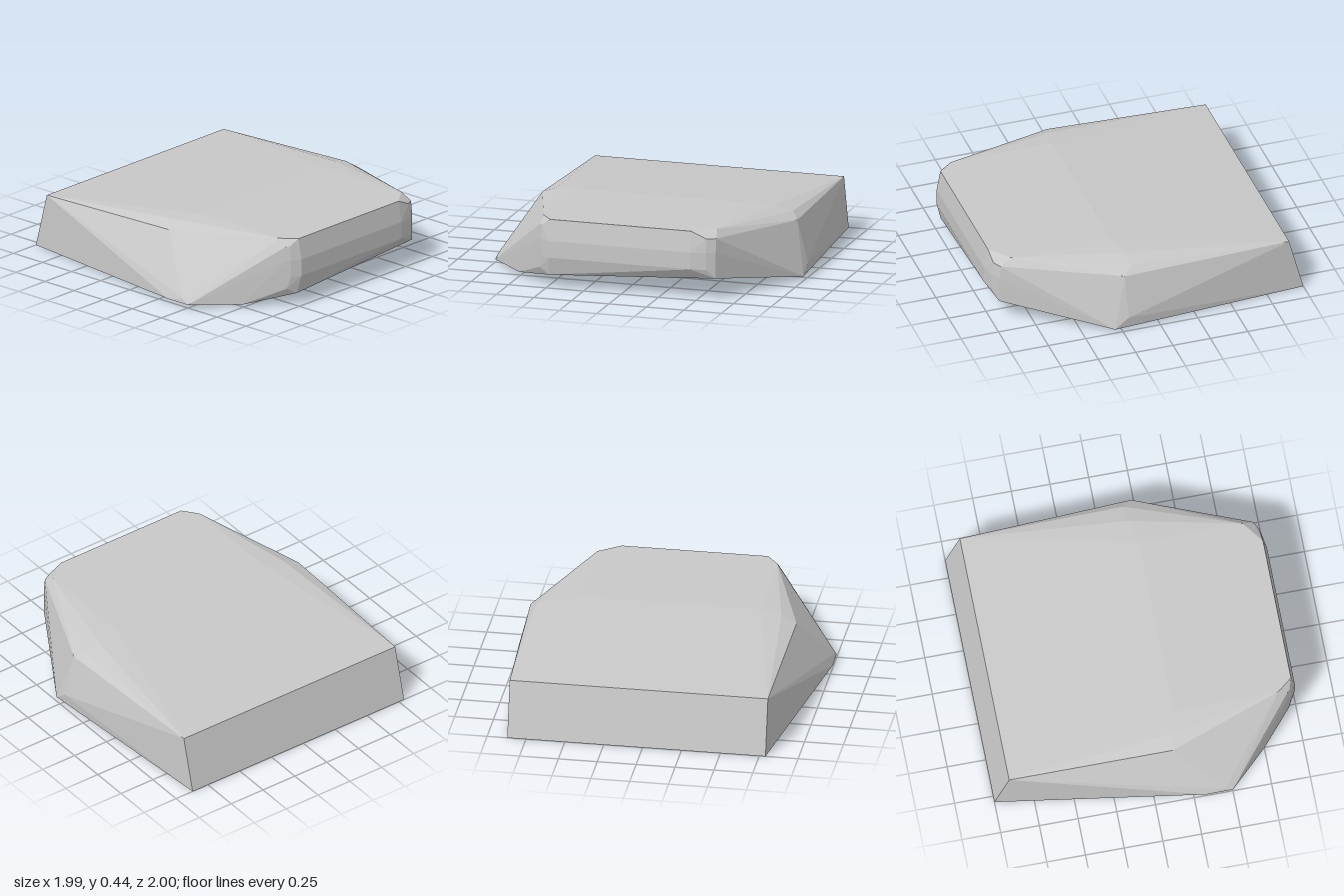
import * as THREE from 'three';
import { ConvexGeometry } from 'three/addons/geometries/ConvexGeometry.js';

export function createModel() {
  const group = new THREE.Group();
  group.name = 'facetedSlab';
  const grey = new THREE.MeshStandardMaterial({ color: 0xc8c8c8 });
  grey.name = 'plain grey';

  const points = [];
  const add = (x, y, z) => points.push(new THREE.Vector3(x, y, z));

  // Sloping back wall
  for (const x of [-0.79, 0.87]) {
    add(x, 0, -1);
    add(x, 0.36, -0.905);
  }

  // Wide lower corners
  add(-1, 0.02, 0.5);
  add(-1, 0.02, 0.33);
  add(-0.995, 0.05, 0.45);
  add(-0.76, 0.02, 0.75);
  add(0.99, 0.02, 0.3);
  add(0.99, 0.09, 0.21);

  // Crowned ridge across the top
  const ridge = [
    [-0.8, 0.39, 0.15], [-0.7, 0.43, 0.17], [-0.56, 0.445, 0.2],
    [0.6, 0.445, 0.2], [0.76, 0.433, 0.16], [0.87, 0.403, 0.15], [0.92, 0.362, 0.21],
  ];
  ridge.forEach((p) => add(...p));
  add(-0.555, 0.445, 0.88);
  add(0.6, 0.445, 0.87);

  // Rounded nose, upper edge to lower edge
  for (const x of [-0.48, 0.46]) {
    add(x, 0.445, 0.975);
    add(x, 0.31, 1);
    add(x, 0.2, 1);
  }
  for (const [x, z] of [[-0.54, 0.965], [-0.56, 0.945], [0.56, 0.98], [0.615, 0.95]]) {
    add(x, 0.4, z - 0.01);
    add(x, 0.31, z);
    add(x, 0.2, z);
  }
  add(-0.56, 0.12, 0.945);
  add(-0.49, 0.08, 0.97);
  add(0.615, 0.14, 0.95);

  const body = new THREE.Mesh(new ConvexGeometry(points), grey);
  body.name = 'body';
  group.add(body);
  return group;
}
